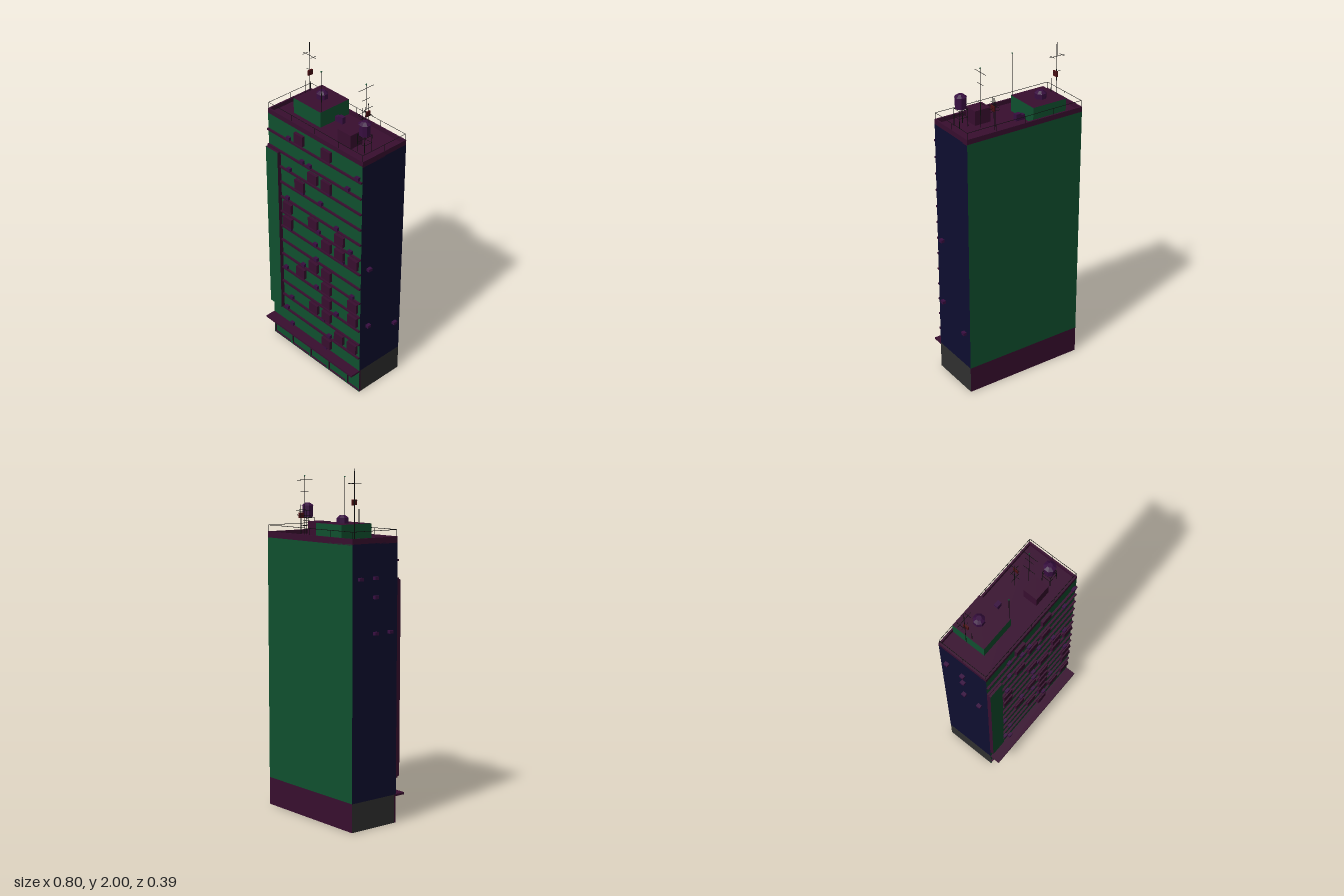
import * as THREE from 'three';

const mat = (name, color, side = THREE.FrontSide) => {
  const m = new THREE.MeshStandardMaterial({ color, side });
  m.name = name;
  return m;
};

export function createModel() {
  const D = THREE.DoubleSide;
  const green = mat('facade green', 0x0f502f, D);
  const navy = mat('side wall navy', 0x0e0e30, D);
  const maroon = mat('trim maroon', 0x380e2f, D);
  const grey = mat('base grey', 0x303030, D);
  const purple = mat('equipment purple', 0x380e40);
  const black = mat('metal black', 0x0c0c0c);
  const red = mat('antenna red', 0x4a0e12);

  const model = new THREE.Group();
  model.name = 'towerBlock';
  const add = (name, geo, material, x = 0, y = 0, z = 0) => {
    const m = new THREE.Mesh(geo, material);
    m.name = name;
    m.position.set(x, y, z);
    model.add(m);
    return m;
  };
  // Box given by its extents
  const box = (name, material, x0, x1, y0, y1, z0, z1) =>
    add(name, new THREE.BoxGeometry(x1 - x0, y1 - y0, z1 - z0), material,
      (x0 + x1) / 2, (y0 + y1) / 2, (z0 + z1) / 2);
  // Thin bar between two points
  const bar = (name, a, b, r = 0.0015, material = black) => {
    const p = new THREE.Vector3(...a), q = new THREE.Vector3(...b);
    const m = add(name, new THREE.CylinderGeometry(r, r, p.distanceTo(q), 4), material);
    m.position.copy(p).add(q).multiplyScalar(0.5);
    m.quaternion.setFromUnitVectors(new THREE.Vector3(0, 1, 0), q.sub(p).normalize());
  };

  const X = 0.38, ZB = -0.195, ZF = 0.13, BASE = 0.165, TOP = 1.6, STEP = 0.1027;
  const zMid = (ZB + ZF) / 2, depth = ZF - ZB;

  // Hollow walls, open at the bottom
  const wall = (name, material, w, y0, y1, x, z, turn) => {
    add(name, new THREE.PlaneGeometry(w, y1 - y0), material, x, (y0 + y1) / 2, z).rotation.y = turn;
  };
  wall('frontWall', green, 2 * X, BASE, TOP, 0, ZF, 0);
  wall('backWall', green, 2 * X, BASE, TOP, 0, ZB, Math.PI);
  wall('backBase', maroon, 2 * X, 0, BASE, 0, ZB, Math.PI);
  for (const s of [-1, 1]) {
    wall('sideWall', navy, depth, BASE, TOP, s * X, zMid, s * Math.PI / 2);
    wall('sideBase', grey, depth, 0, BASE, s * X, zMid, s * Math.PI / 2);
  }

  // Shop front: a frame with openings and recessed panes
  const rect = (C, x0, x1, y0, y1) => {
    const p = new C();
    p.moveTo(x0, y0); p.lineTo(x1, y0); p.lineTo(x1, y1); p.lineTo(x0, y1); p.closePath();
    return p;
  };
  const front = rect(THREE.Shape, -X, X, 0, BASE);
  for (const [a, b] of [[-0.377, -0.228], [-0.213, -0.065], [-0.05, 0.097], [0.114, 0.26], [0.278, 0.376]])
    front.holes.push(rect(THREE.Path, a, b, 0.004, 0.115));
  add('shopFrame', new THREE.ExtrudeGeometry(front, { depth: 0.012, bevelEnabled: false }),
    [green, maroon], 0, 0, ZF - 0.012);
  wall('shopPanes', green, 2 * X, 0, 0.12, 0, ZF - 0.012, 0);
  box('canopy', maroon, -X, X, 0.154, 0.166, ZF, 0.195);

  // Floor ledges and the tall stair panel
  for (let i = 0; i < 13; i++) {
    const y = 0.266 + i * STEP;
    box('floorLedge', maroon, i === 0 || i >= 11 ? -X : -0.28, X, y - 0.005, y + 0.005, ZF, 0.142);
  }
  add('stairPanel', new THREE.BoxGeometry(0.1, 1.12, 0.025),
    [maroon, maroon, maroon, maroon, green, maroon], -0.33, 0.83, ZF + 0.0125);

  // Projecting window boxes, listed as columns for each storey
  const columns = [-0.22, -0.112, -0.002, 0.108, 0.215, 0.326];
  const windows = [[3], [4, 5], [2, 3], [3, 5], [1, 3, 5], [2, 3], [], [0, 3, 4, 5],
    [0, 2, 4], [], [1], [2, 3], [], [1, 3]];
  windows.forEach((row, k) => row.forEach((c) => {
    const y = 0.218 + k * 0.1025, x = columns[c];
    box('windowBox', maroon, x - 0.036, x + 0.036, y - 0.031, y + 0.031, ZF, 0.148);
  }));

  // Small air conditioners standing on the ledges
  const coolers = [[-0.2, 0.1], [-0.245, 0.13], [-0.2, 0.082], [0.19], [-0.245, 0.02],
    [-0.09, 0.32], [0.02], [-0.2, 0.015, 0.24], [0.04, 0.3], [-0.22, 0.19], [-0.09, 0.06],
    [-0.2, 0.13], [-0.09, -0.03, 0.275], [-0.2, 0.35]];
  coolers.forEach((row, k) => row.forEach((x) => {
    const y = 0.171 + k * STEP;
    box('airConditioner', purple, x - 0.013, x + 0.013, y, y + 0.021, ZF, 0.147);
  }));
  // Air conditioners on the side walls
  for (const [s, y, z] of [[-1, 1.41, -0.145], [-1, 1.41, -0.035], [-1, 1.305, -0.035],
    [-1, 1.105, -0.035], [-1, 1.105, 0.073], [1, 0.897, 0.073], [1, 0.487, 0.073], [1, 0.387, -0.145]])
    add('sideAirConditioner', new THREE.BoxGeometry(0.02, 0.018, 0.026), purple, s * (X + 0.01), y, z);

  // Roof slab and parapet
  box('roof', maroon, -X, X, TOP - 0.005, TOP + 0.005, ZB, ZF);
  for (const s of [-1, 1]) {
    box('parapetSide', maroon, s * X - (s > 0 ? 0.01 : 0), s * X + (s < 0 ? 0.01 : 0), TOP, 1.63, ZB, ZF);
    const z = s > 0 ? ZF - 0.01 : ZB;
    box('parapetEnd', maroon, -X + 0.01, X - 0.01, TOP, 1.63, z, z + 0.01);
  }
  // Railing
  const rx = 0.376, zb = ZB + 0.004, zf = ZF - 0.004;
  for (const z of [zb, zf]) {
    bar('handrail', [-rx, 1.667, z], [rx, 1.667, z]);
    for (let i = 0; i < 5; i++) bar('railPost', [-rx + i * rx / 2, 1.62, z], [-rx + i * rx / 2, 1.667, z]);
  }
  for (const x of [-rx, rx]) {
    bar('handrail', [x, 1.667, zb], [x, 1.667, zf]);
    bar('railPost', [x, 1.62, zMid], [x, 1.667, zMid]);
  }

  // Roof rooms and vents
  add('machineRoom', new THREE.BoxGeometry(0.22, 0.1, 0.214),
    [green, green, maroon, maroon, green, green], -0.165, 1.65, -0.077);
  box('serviceBox', maroon, 0.117, 0.218, TOP, 1.69, -0.025, 0.064);
  box('ventDuct', purple, -0.055, -0.03, TOP, 1.635, -0.105, -0.08);
  box('ventBox', purple, -0.033, 0.002, TOP, 1.645, -0.105, -0.08);
  const flat = (geo) => {
    const g = geo.toNonIndexed();
    g.computeVertexNormals();
    return g;
  };
  const drum = (name, r0, r1, h, x, y, z) =>
    add(name, flat(new THREE.CylinderGeometry(r0, r1, h, 8)), purple, x, y + h / 2, z).rotation.y = Math.PI / 8;
  drum('roofVent', 0.034, 0.034, 0.03, -0.17, 1.7, -0.09);
  drum('roofVentCap', 0.016, 0.034, 0.015, -0.17, 1.73, -0.09);

  // Water tank on braced legs
  drum('waterTank', 0.032, 0.032, 0.067, 0.28, 1.71, 0.02);
  drum('waterTankLid', 0.015, 0.036, 0.015, 0.28, 1.777, 0.02);
  const leg = (i, y) => [0.28 + [-1, 1, 1, -1][i % 4] * 0.027, y, 0.02 + [-1, -1, 1, 1][i % 4] * 0.027];
  for (let i = 0; i < 4; i++) {
    bar('tankLeg', leg(i, TOP), leg(i, 1.71), 0.0025);
    for (const y of [1.66, 1.705]) bar('tankBrace', leg(i, y), leg(i + 1, y));
  }

  // Mast with crossed aerial and red receiver
  bar('tallMast', [-0.275, TOP, -0.093], [-0.275, 2, -0.093], 0.0025);
  bar('aerialBoom', [-0.327, 1.92, -0.093], [-0.225, 1.92, -0.093]);
  for (const x of [-0.31, -0.245])
    bar('aerialElement', [x, 1.92, -0.113], [x, 1.92, -0.073]);
  bar('aerialBoom', [-0.3, 1.83, -0.093], [-0.25, 1.83, -0.093]);
  box('receiver', red, -0.274, -0.264, 1.803, 1.833, -0.107, -0.074);
  bar('shortMast', [-0.268, TOP, -0.055], [-0.268, 1.78, -0.055], 0.0025);

  // Whip poles with round tips
  for (const [x, z] of [[-0.057, 0.02], [0.205, -0.06]]) {
    bar('whipPole', [x, TOP, z], [x, 1.95, z], 0.002);
    add('poleTip', new THREE.IcosahedronGeometry(0.005, 0), green, x, 1.95, z);
  }
  for (const [y, w] of [[1.927, 0.055], [1.86, 0.028], [1.75, 0.04]])
    bar('poleElement', [0.205, y, -0.06 - w], [0.205, y, -0.06 + w]);

  // Low cross aerials
  for (const [x, y, z, w] of [[0.137, 1.76, -0.1, 0.031], [0.16, 1.79, -0.123, 0.034]]) {
    bar('lowMast', [x, TOP, z], [x, y, z], 0.002);
    bar('lowElement', [x - w, y - 0.06, z], [x + w, y - 0.06, z]);
    bar('lowElement', [x, y - 0.03, z - w], [x, y - 0.03, z + w]);
  }
  box('receiver', red, 0.16, 0.168, 1.715, 1.745, -0.133, -0.1);
  return model;
}
